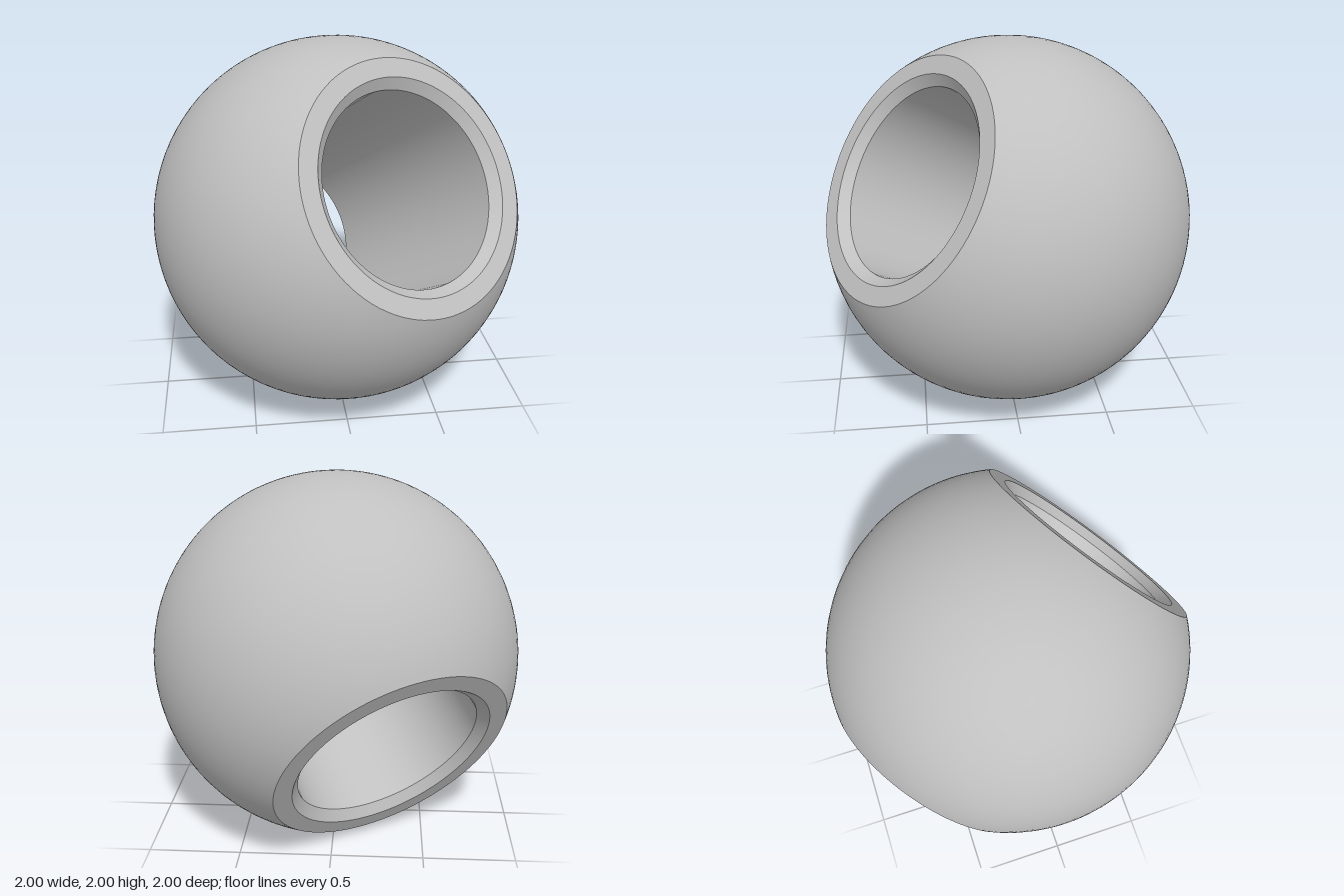
import * as THREE from 'three';

const SEGMENTS = 96;
const FACE = 0.755;                           // flat rim distance from the centre
const RIM = Math.sqrt(1 - FACE * FACE);       // outer radius of the flat rim
const BORE = 0.505;                           // hole radius
const CHAMFER = 0.05;

export function createModel() {
  const model = new THREE.Group();
  const grey = new THREE.MeshStandardMaterial({ color: 0xc0c0c0 });
  grey.name = 'plain grey';

  // All parts revolve around the hole axis, which is tilted as one group
  const ball = new THREE.Group();
  ball.name = 'drilledBall';
  ball.position.y = 1;
  ball.quaternion.setFromUnitVectors(
    new THREE.Vector3(0, 1, 0),
    new THREE.Vector3(0.43, 0.503, 0.75).normalize()
  );
  model.add(ball);

  // Separate lathes keep the edges between the surfaces sharp
  const revolve = (name, points) => {
    const geometry = new THREE.LatheGeometry(points.map(([r, y]) => new THREE.Vector2(r, y)), SEGMENTS);
    const mesh = new THREE.Mesh(geometry, grey);
    mesh.name = name;
    ball.add(mesh);
  };

  // Spherical outer skin between the two flat rims
  const limit = Math.asin(FACE);
  const arc = [];
  for (let i = 0; i <= 48; i++) {
    const a = -limit + (2 * limit * i) / 48;
    arc.push([Math.cos(a), Math.sin(a)]);
  }
  revolve('outerSphere', arc);

  // Flat rim and chamfer at each end of the hole
  const lip = BORE + CHAMFER;
  const depth = FACE - CHAMFER;
  revolve('frontRim', [[RIM, FACE], [lip, FACE]]);
  revolve('frontChamfer', [[lip, FACE], [BORE, depth]]);
  revolve('bore', [[BORE, depth], [BORE, -depth]]);
  revolve('backChamfer', [[BORE, -depth], [lip, -FACE]]);
  revolve('backRim', [[lip, -FACE], [RIM, -FACE]]);

  return model;
}
